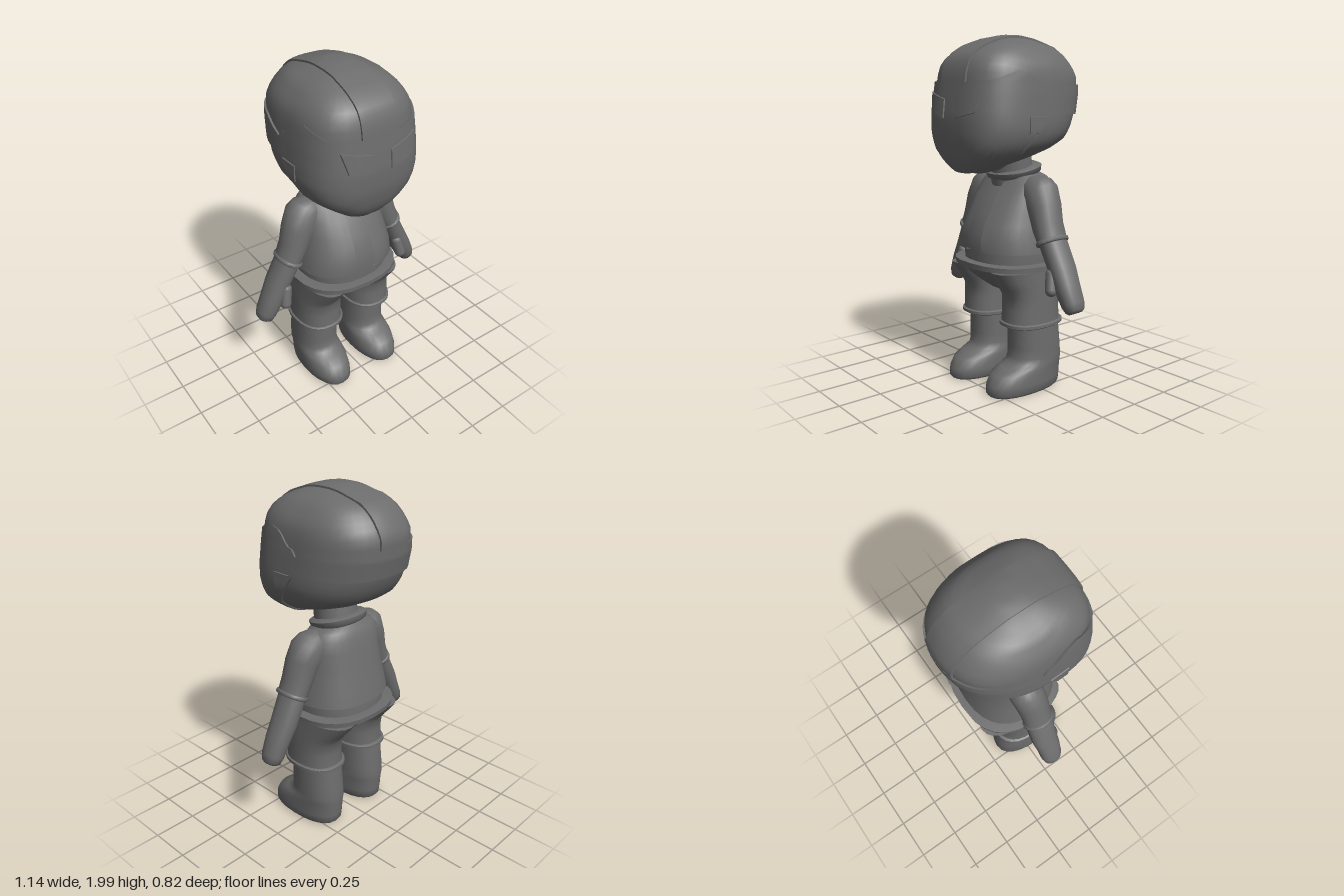
import * as THREE from 'three';
import { toCreasedNormals } from 'three/addons/utils/BufferGeometryUtils.js';

const material = new THREE.MeshStandardMaterial({ color: 0x6c6c6c, side: THREE.DoubleSide });

function finish(name, positions, index, crease = 0.9) {
  const geometry = new THREE.BufferGeometry();
  geometry.setAttribute('position', new THREE.Float32BufferAttribute(positions, 3));
  geometry.setIndex(index);
  const mesh = new THREE.Mesh(toCreasedNormals(geometry, crease), material);
  mesh.name = name;
  return mesh;
}

// Stacks rounded sections [y, centreX, halfWidth, zFront, zBack], bottom to top.
// Lower powers are boxier; a gap (radians) leaves the front open.
function loft(name, sections, { power = 0.85, backPower = power, sides = 24, gap = 0, crease } = {}) {
  const positions = [], index = [], row = sides + 1;
  for (const [y, cx, hw, zf, zb] of sections) {
    for (let j = 0; j <= sides; j++) {
      const a = gap + ((j % (gap ? row : sides)) / sides) * (Math.PI * 2 - gap * 2);
      const p = Math.cos(a) > 0 ? power : backPower;
      const bend = v => Math.sign(v) * Math.abs(v) ** p;
      positions.push(cx + hw * bend(Math.sin(a)), y, (zf + zb) / 2 + ((zf - zb) / 2) * bend(Math.cos(a)));
    }
  }
  for (let i = 0; i < sections.length - 1; i++) {
    for (let j = 0; j < sides; j++) {
      const a = i * row + j, d = a + row;
      index.push(a, a + 1, d + 1, a, d + 1, d);
    }
  }
  if (!gap) {
    for (const end of [0, sections.length - 1]) {
      const [y, cx, , zf, zb] = sections[end], centre = positions.length / 3;
      positions.push(cx, y, (zf + zb) / 2);
      for (let j = 0; j < sides; j++) {
        const a = end * row + j;
        index.push(centre, end ? a : a + 1, end ? a + 1 : a);
      }
    }
  }
  return finish(name, positions, index, crease);
}

// Panel cast from inside onto a form; its rim sinks into the form and may be bevelled.
function panel(name, form, nu, nv, ray, { lift = 0, rim = 0.02, bevel = 0 } = {}) {
  const positions = [], index = [], caster = new THREE.Raycaster();
  const spread = (i, n) => THREE.MathUtils.clamp((i - 1) / (n - 2), -bevel, 1 + bevel);
  for (let j = 0; j <= nv; j++) {
    for (let i = 0; i <= nu; i++) {
      const [origin, direction] = ray(spread(i, nu), spread(j, nv));
      const dir = new THREE.Vector3(...direction).normalize();
      caster.set(new THREE.Vector3(...origin), dir);
      const hit = caster.intersectObject(form)[0];
      const point = hit ? hit.point.clone() : new THREE.Vector3(...origin);
      const edge = i === 0 || j === 0 || i === nu || j === nv;
      positions.push(...point.addScaledVector(dir, lift - (edge ? rim : 0)).toArray());
    }
  }
  for (let j = 0; j < nv; j++) {
    for (let i = 0; i < nu; i++) {
      const a = j * (nu + 1) + i, d = a + nu + 1;
      index.push(a, a + 1, d + 1, a, d + 1, d);
    }
  }
  return finish(name, positions, index);
}

// Piecewise linear lookup in [x, y] pairs
function along(points, x) {
  for (let i = 1; i < points.length; i++) {
    const [x0, y0] = points[i - 1], [x1, y1] = points[i];
    if (x <= x1) return y0 + ((y1 - y0) * (x - x0)) / (x1 - x0);
  }
  return points[points.length - 1][1];
}

function createHead() {
  const head = new THREE.Group();
  head.name = 'helmet';
  const cx = -0.02;
  const form = loft('form', [
    [1.24, cx, 0.09, 0.335, 0.2], [1.26, cx, 0.15, 0.35, 0.12], [1.31, cx, 0.23, 0.378, -0.07],
    [1.36, cx, 0.3, 0.392, -0.2], [1.41, cx, 0.33, 0.405, -0.3], [1.47, cx, 0.348, 0.41, -0.345],
    [1.55, cx, 0.348, 0.412, -0.38], [1.66, cx, 0.342, 0.4, -0.403], [1.77, cx, 0.332, 0.386, -0.407],
    [1.83, cx, 0.315, 0.37, -0.375], [1.88, cx, 0.28, 0.34, -0.338], [1.93, cx, 0.235, 0.26, -0.275],
    [1.972, cx, 0.14, 0.15, -0.14], [1.993, cx, 0.06, 0.05, -0.06]
  ], { power: 0.62, backPower: 0.88, sides: 48 });
  form.updateMatrixWorld();

  const radial = (a, e) => [[cx - 1e-4, 1.6, 1e-4],
    [Math.sin(a) * Math.cos(e), Math.sin(e), Math.cos(a) * Math.cos(e)]];
  head.add(panel('innerHelmet', form, 56, 32,
    (u, v) => radial((u * 2 - 1) * Math.PI, (v * 2 - 1) * 1.56), { lift: -0.012, rim: 0 }));

  // Raised face mask running round the sides and back, with notched borders
  const upper = [[0, 0.3], [0.7, 0.32], [1.05, 0.48], [1.25, 0.46], [1.42, 0.29], [1.55, 0.26],
    [1.6, 0.16], [2.05, 0.32], [3.15, 0.26]];
  const lower = [[0, -1.15], [0.5, -1.1], [1, -0.75], [1.3, -0.45], [1.57, -0.13], [3.15, -0.1]];
  head.add(panel('faceMask', form, 80, 20, (u, v) => {
    const a = (u * 2 - 1) * Math.PI, r = Math.abs(a);
    return radial(a, THREE.MathUtils.lerp(along(lower, r), along(upper, r), v));
  }));

  // Crest over the top, forehead to nape, tucked under the mask at both ends
  head.add(panel('crest', form, 8, 36, (u, v) => {
    const t = THREE.MathUtils.lerp(0.27, Math.PI - 0.23, v);
    return [[-0.13 + 0.215 * u, 1.6, 1e-4], [0, Math.sin(t), Math.cos(t)]];
  }, { lift: -0.002 }));

  for (const side of [-1, 1]) {
    // Slanted eyes, taller at the outer end
    head.add(panel('eye', form, 10, 8, (u, v) => {
      const t = side > 0 ? u : 1 - u;
      const y = THREE.MathUtils.lerp(1.54 + 0.03 * t, 1.64 + 0.04 * t, v);
      const x = 0.055 + (0.17 - 0.03 * (1 - v)) * t;
      return [[cx + side * x, y, 0], [0, 0, 1]];
    }, { lift: 0.007, bevel: 0.04 }));
    head.add(panel('earNotch', form, 6, 6, (u, v) => {
      const t = side > 0 ? u : 1 - u;
      return [[cx, 1.46 + 0.09 * v, 0.14 - t * (0.06 + 0.05 * v)], [side, 0, 0]];
    }, { lift: 0.006, bevel: 0.05 }));
  }
  return head;
}

function createArm(side) {
  const arm = new THREE.Group();
  arm.name = side > 0 ? 'leftArm' : 'rightArm';
  arm.add(loft('sleeve', [
    [-0.29, 0, 0.071, 0.09, -0.09], [-0.2, 0, 0.083, 0.09, -0.092], [-0.1, side * 0.01, 0.098, 0.09, -0.105],
    [0, 0.005 * side, 0.11, 0.085, -0.118], [0.05, -side * 0.01, 0.1, 0.066, -0.105],
    [0.09, -side * 0.035, 0.065, 0.035, -0.07], [0.105, -side * 0.05, 0.025, 0, -0.04]
  ], { power: 1, sides: 18, crease: 1.2 }));
  arm.add(loft('sleeveCuff', [
    [-0.3, 0, 0.074, 0.096, -0.094], [-0.295, 0, 0.079, 0.102, -0.099],
    [-0.28, 0, 0.079, 0.102, -0.099], [-0.275, 0, 0.074, 0.096, -0.094]
  ], { power: 1, sides: 18 }));
  arm.add(loft('forearmAndHand', [
    [-0.695, 0, 0.032, 0.035, -0.04], [-0.682, 0, 0.046, 0.052, -0.06], [-0.645, 0, 0.055, 0.064, -0.07],
    [-0.55, 0, 0.062, 0.072, -0.076], [-0.45, 0, 0.064, 0.074, -0.088], [-0.29, 0, 0.064, 0.082, -0.086]
  ], { power: 0.9, sides: 18 }));
  const thumb = new THREE.Mesh(new THREE.CapsuleGeometry(0.033, 0.09, 5, 12), material);
  thumb.name = 'thumb';
  thumb.position.set(-side * 0.04, -0.5, 0.062);
  thumb.rotation.set(-0.22, 0, -side * 0.25);
  arm.add(thumb);
  arm.position.set(side * 0.222, 1.13, 0);
  arm.rotation.z = side * 0.47;
  return arm;
}

function createLeg(side) {
  const leg = new THREE.Group();
  leg.name = side > 0 ? 'leftLeg' : 'rightLeg';
  const x = side * 0.178;
  leg.add(loft('shorts', [
    [0.385, x, 0.137, 0.178, -0.168], [0.48, x, 0.134, 0.172, -0.16], [0.55, x, 0.133, 0.172, -0.17],
    [0.6, x, 0.132, 0.203, -0.205], [0.65, x, 0.13, 0.24, -0.25], [0.7, x, 0.129, 0.272, -0.285]
  ]));
  leg.add(loft('shortsCuff', [
    [0.376, x, 0.138, 0.176, -0.172], [0.382, x, 0.147, 0.187, -0.184],
    [0.398, x, 0.147, 0.187, -0.184], [0.404, x, 0.138, 0.176, -0.172]
  ]));
  leg.add(loft('boot', [
    [0, x, 0.115, 0.295, -0.165], [0.015, x, 0.128, 0.305, -0.178], [0.06, x, 0.13, 0.3, -0.183],
    [0.115, x, 0.13, 0.265, -0.185], [0.145, x, 0.129, 0.2, -0.187], [0.165, x, 0.128, 0.155, -0.187],
    [0.195, x, 0.127, 0.138, -0.185], [0.25, x, 0.127, 0.137, -0.18], [0.39, x, 0.123, 0.137, -0.165]
  ], { power: 0.88, crease: 1.2 }));
  return leg;
}

export function createModel() {
  const model = new THREE.Group();
  model.name = 'helmetedFigure';
  model.add(createHead());

  model.add(loft('neck', [[1.15, 0, 0.13, 0.11, -0.14], [1.35, 0, 0.13, 0.13, -0.1]], { power: 1 }));
  const collar = loft('collar', [
    [-0.025, 0, 0.15, 0.12, -0.13], [-0.015, 0, 0.165, 0.135, -0.145],
    [0.015, 0, 0.175, 0.138, -0.15], [0.025, 0, 0.16, 0.12, -0.135]
  ], { power: 0.9 });
  collar.position.set(0, 1.235, -0.012);
  collar.rotation.x = 0.22;
  model.add(collar);

  // Shirt shows through the open jacket front and below its hem
  model.add(loft('shirt', [
    [0.7, 0, 0.265, 0.25, -0.255], [0.8, 0, 0.272, 0.255, -0.255], [0.9, 0, 0.262, 0.25, -0.235],
    [1, 0, 0.245, 0.205, -0.21], [1.1, 0, 0.225, 0.15, -0.19], [1.18, 0, 0.2, 0.09, -0.165], [1.225, 0, 0.13, 0.06, -0.13]
  ]));
  model.add(loft('jacket', [
    [0.8, 0, 0.28, 0.255, -0.25], [0.8, 0, 0.298, 0.275, -0.272], [0.87, 0, 0.288, 0.275, -0.257],
    [0.95, 0, 0.27, 0.245, -0.237], [1.02, 0, 0.258, 0.208, -0.222], [1.1, 0, 0.25, 0.163, -0.202],
    [1.17, 0, 0.24, 0.108, -0.185], [1.21, 0, 0.21, 0.085, -0.165], [1.235, 0, 0.13, 0.07, -0.14]
  ], { gap: 0.17, sides: 28 }));

  model.add(loft('belt', [
    [0.7, 0, 0.295, 0.265, -0.28], [0.703, 0, 0.322, 0.295, -0.302],
    [0.732, 0, 0.324, 0.297, -0.306], [0.737, 0, 0.26, 0.25, -0.25]
  ], { power: 0.8 }));
  model.add(loft('hips', [
    [0.535, 0, 0.06, 0.05, -0.06], [0.555, 0, 0.14, 0.1, -0.11], [0.6, 0, 0.2, 0.165, -0.17],
    [0.65, 0, 0.27, 0.225, -0.235], [0.71, 0, 0.304, 0.278, -0.29]
  ], { power: 0.8 }));

  for (const side of [-1, 1]) model.add(createArm(side), createLeg(side));
  return model;
}
